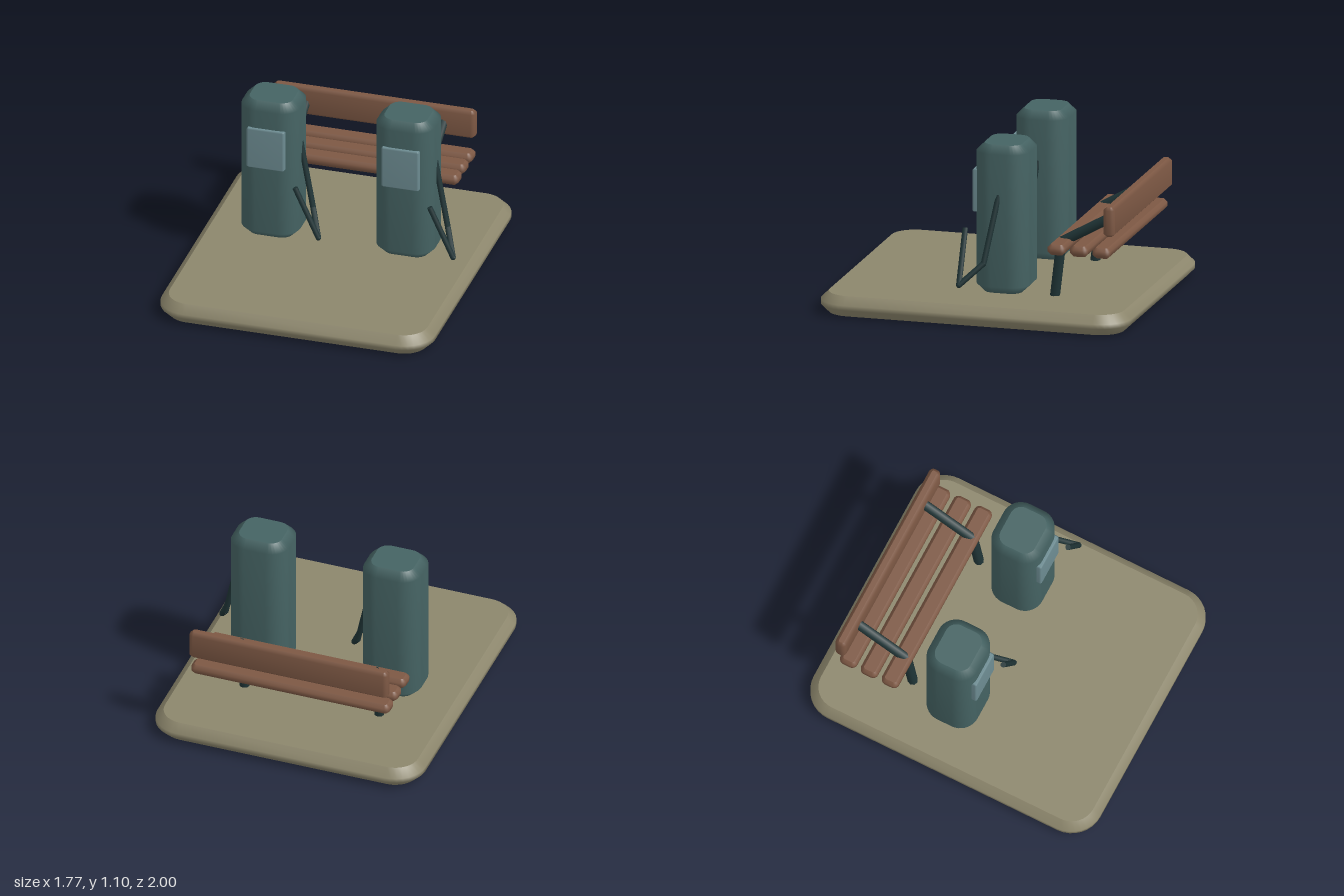
import * as THREE from 'three';
import { mergeVertices, mergeGeometries } from 'three/addons/utils/BufferGeometryUtils.js';

const material = (name, color) => {
  const m = new THREE.MeshStandardMaterial({ color });
  m.name = name;
  return m;
};

// Rounded slab with one chamfer: smooth sides, crisp flat caps; bottom at y = 0
function slabGeometry(w, h, d, r, b) {
  const x = w / 2 - b, y = d / 2 - b, c = r - b;
  const s = new THREE.Shape();
  s.absarc(x - c, y - c, c, 0, Math.PI / 2);
  s.absarc(-x + c, y - c, c, Math.PI / 2, Math.PI);
  s.absarc(-x + c, -y + c, c, Math.PI, Math.PI * 1.5);
  s.absarc(x - c, -y + c, c, Math.PI * 1.5, Math.PI * 2);
  const raw = new THREE.ExtrudeGeometry(s, {
    depth: h - 2 * b, bevelEnabled: true, bevelThickness: b, bevelSize: b, bevelSegments: 1, curveSegments: 4,
  });
  const pos = raw.attributes.position.array;
  const pieces = raw.groups.map(({ start, count }) => {
    const g = new THREE.BufferGeometry();
    g.setAttribute('position', new THREE.BufferAttribute(pos.slice(start * 3, (start + count) * 3), 3));
    const welded = mergeVertices(g, 1e-5);
    welded.computeVertexNormals();
    return welded;
  });
  return mergeGeometries(pieces).translate(0, 0, b).rotateX(-Math.PI / 2);
}

function slab(name, mat, [w, h, d], [x, y, z], r, b) {
  const mesh = new THREE.Mesh(slabGeometry(w, h, d, r, b), mat);
  mesh.name = name;
  mesh.position.set(x, y, z);
  return mesh;
}

// Jointed rod through a list of points
function rod(name, mat, points, radius) {
  const pts = points.map((p) => new THREE.Vector3(...p));
  const parts = [];
  for (let i = 0; i < pts.length - 1; i++) {
    const dir = pts[i + 1].clone().sub(pts[i]);
    const g = new THREE.CylinderGeometry(radius, radius, dir.length(), 8);
    g.applyQuaternion(new THREE.Quaternion().setFromUnitVectors(new THREE.Vector3(0, 1, 0), dir.normalize()));
    const mid = pts[i].clone().lerp(pts[i + 1], 0.5);
    parts.push(g.translate(mid.x, mid.y, mid.z));
    if (i > 0) parts.push(new THREE.SphereGeometry(radius, 8, 6).translate(...pts[i].toArray()));
  }
  const mesh = new THREE.Mesh(mergeGeometries(parts), mat);
  mesh.name = name;
  return mesh;
}

export function createModel() {
  const stone = material('stone', 0x8c866c);
  const teal = material('teal metal', 0x456363);
  const glass = material('pale screen', 0x6d8c92);
  const wood = material('wood', 0x7d5844);
  const dark = material('dark metal', 0x1f3436);

  const model = new THREE.Group();
  model.name = 'chargingStop';
  model.add(slab('base', stone, [1.77, 0.13, 2], [0, 0, 0], 0.2, 0.05));

  // Two charging posts, each with a screen and a cable on its +x side
  for (const [name, x] of [['rightCharger', -0.438], ['leftCharger', 0.434]]) {
    const charger = new THREE.Group();
    charger.name = name;
    charger.position.x = x;
    charger.add(
      slab('post', teal, [0.378, 0.95, 0.34], [0, 0.15, -0.12], 0.12, 0.05),
      slab('screen', glass, [0.245, 0.275, 0.06], [0, 0.655, 0.04], 0.014, 0.008),
      rod('cable', dark, [
        [0.17, 0.8, -0.12], [0.275, 0.37, -0.05], [0.35, 0.24, 0.088], [0.2, 0.57, 0.09],
      ], 0.018),
    );
    model.add(charger);
  }

  // Bench: three seat slats, one back board and two bent supports
  const bench = new THREE.Group();
  bench.name = 'bench';
  for (const z of [-0.497, -0.643, -0.788]) {
    bench.add(slab('seatSlat', wood, [1.31, 0.067, 0.116], [0, 0.438, z], 0.035, 0.02));
  }
  bench.add(slab('backBoard', wood, [1.31, 0.19, 0.074], [0, 0.58, -0.838], 0.03, 0.02));
  for (const x of [-0.445, 0.445]) {
    bench.add(rod('benchSupport', dark, [
      [x, 0.12, -0.433], [x, 0.475, -0.475], [x, 0.67, -0.825],
    ], 0.032));
  }
  model.add(bench);
  return model;
}
